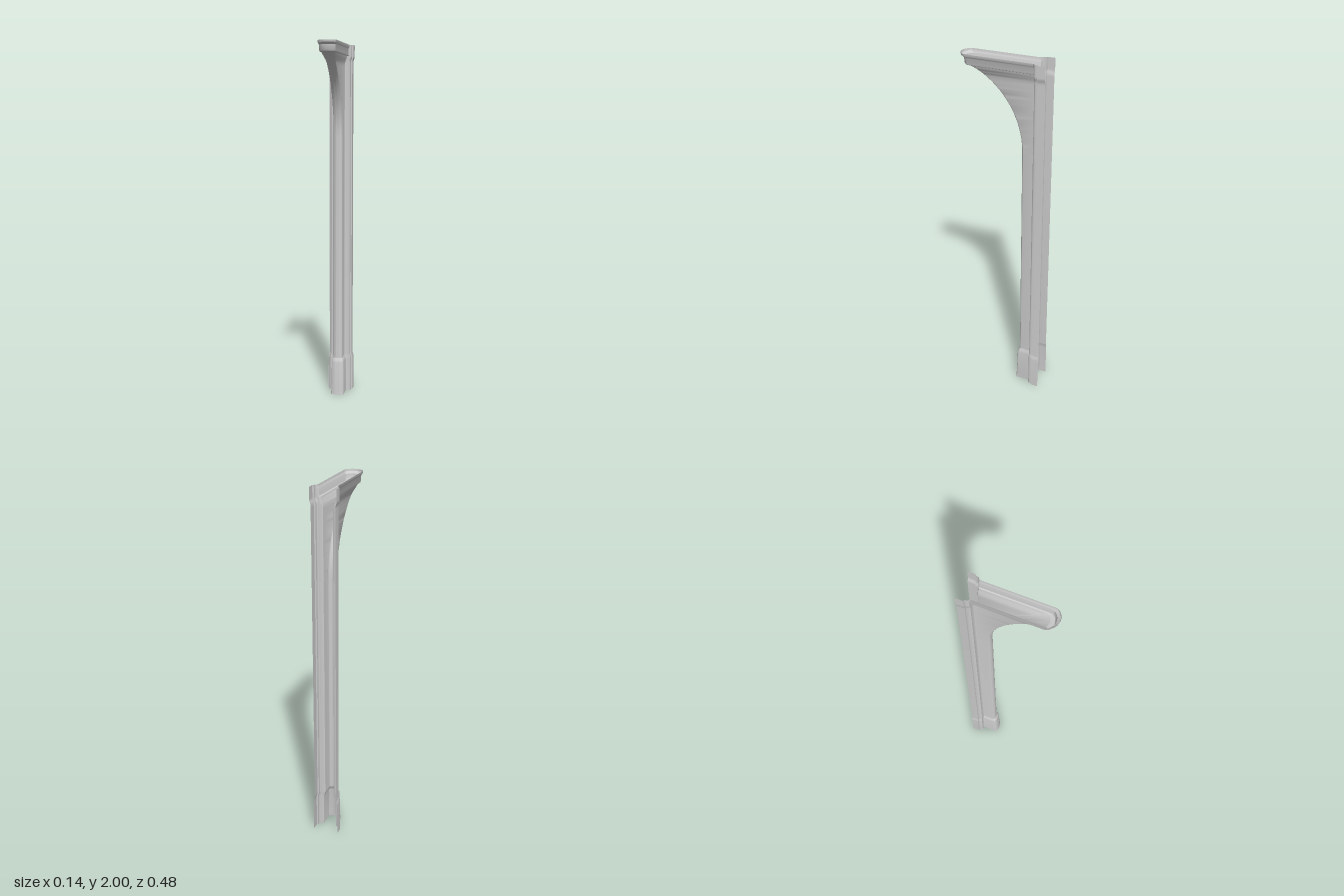
import * as THREE from 'three';
import { toCreasedNormals } from 'three/addons/utils/BufferGeometryUtils.js';

const material = new THREE.MeshStandardMaterial({ color: 0xcccccc, side: THREE.DoubleSide });

// Open-backed cross-section: mounting flange, stepped shoulder, side wall, rounded nose.
// flange, wall: half-widths; front: z of the nose; nose: depth of its rounding
function section({ y, flange, wall, front, nose }) {
  const step = flange - 0.008;
  const half = [
    [flange, -0.238], [flange, -0.197], [step, -0.196], [step, -0.184],
    [step - 0.002, -0.178], [step - 0.006, -0.175],
    [Math.min(wall + 0.008, step - 0.007), -0.175], [wall + 0.002, -0.172], [wall, -0.166],
  ];
  const curve = new THREE.CubicBezierCurve(
    new THREE.Vector2(wall, front - nose),
    new THREE.Vector2(wall, front - nose * 0.45),
    new THREE.Vector2(wall * 0.45, front),
    new THREE.Vector2(0, front)
  );
  curve.getPoints(10).forEach(p => half.push([p.x, p.y]));
  const mirrored = half.slice(0, -1).reverse().map(([x, z]) => [-x, z]);
  return [...half, ...mirrored].map(([x, z]) => [x, y, z]);
}

// Skin a run of cross-sections into one thin shell
function shell(name, rows) {
  const rings = rows.map(section);
  const n = rings[0].length;
  const index = [];
  for (let j = 0; j < rings.length - 1; j++) {
    for (let i = 0; i < n - 1; i++) {
      const a = j * n + i, up = a + n;
      index.push(a, up, a + 1, a + 1, up, up + 1);
    }
  }
  const geometry = new THREE.BufferGeometry();
  geometry.setAttribute('position', new THREE.Float32BufferAttribute(rings.flat(2), 3));
  geometry.setIndex(index);
  const mesh = new THREE.Mesh(toCreasedNormals(geometry, Math.PI / 5), material);
  mesh.name = name;
  return mesh;
}

const row = (y, flange, wall, front, nose) => ({ y, flange, wall, front, nose });

export function createModel() {
  const group = new THREE.Group();
  group.name = 'bracketedPilaster';

  // Plinth, slightly tapered, with a sloping top
  group.add(shell('plinth', [
    row(0, 0.072, 0.037, -0.08, 0.014),
    row(0.03, 0.072, 0.036, -0.083, 0.014),
    row(0.19, 0.071, 0.034, -0.088, 0.014),
    row(0.2, 0.07, 0.032, -0.09, 0.014),
    row(0.215, 0.066, 0.026, -0.098, 0.014),
  ]));

  // Plain shaft
  group.add(shell('shaft', [
    row(0.215, 0.066, 0.026, -0.098, 0.014),
    row(0.23, 0.065, 0.025, -0.099, 0.014),
    row(1.5, 0.065, 0.025, -0.099, 0.014),
  ]));

  // Bracket sweeping forward on an elliptical curve, widening under the collar
  const bracketRows = [];
  const steps = 28;
  for (let i = 0; i <= steps; i++) {
    const a = (i / steps) * 1.19;
    const y = 1.5 + 0.474 * Math.sin(a);
    const front = 0.361 - 0.46 * Math.cos(a);
    const flare = THREE.MathUtils.smoothstep(y, 1.89, 1.945);
    const flange = 0.065 + 0.007 * THREE.MathUtils.smoothstep(y, 1.91, 1.935);
    bracketRows.push(row(y, flange, 0.025 + 0.013 * flare, front, 0.014 + 0.014 * flare));
  }
  group.add(shell('bracket', bracketRows));

  // Moulded collar with a pointed, rounded nose
  group.add(shell('collar', [
    bracketRows[steps],
    row(1.943, 0.072, 0.043, 0.212, 0.032),
    row(1.95, 0.072, 0.045, 0.217, 0.034),
    row(1.978, 0.072, 0.046, 0.22, 0.036),
    row(1.984, 0.072, 0.049, 0.229, 0.038),
    row(1.989, 0.072, 0.051, 0.236, 0.04),
    row(2, 0.072, 0.052, 0.238, 0.042),
  ]));

  return group;
}
